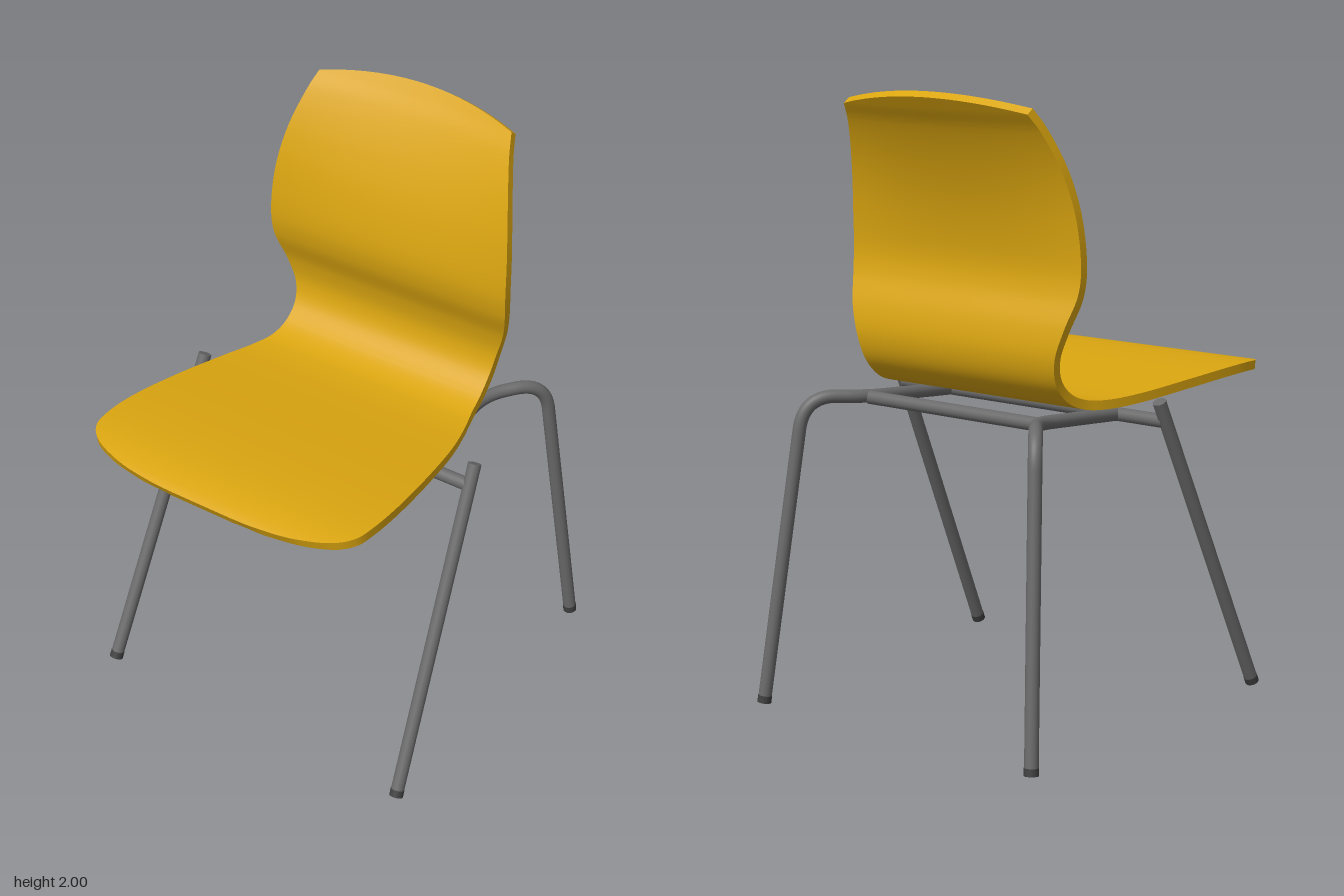
import * as THREE from 'three';
import { toCreasedNormals } from 'three/addons/utils/BufferGeometryUtils.js';

const R = 0.022;
const V = (x, y, z) => new THREE.Vector3(x, y, z);

// One-piece shell: each station is x, y on the side profile and the half width there.
function shellGeometry() {
  const main = new THREE.CatmullRomCurve3([
    [-0.694, 1.037, 0.12], [-0.688, 1.04, 0.25], [-0.668, 1.048, 0.375], [-0.63, 1.058, 0.47],
    [-0.585, 1.065, 0.51], [-0.52, 1.069, 0.522], [-0.4, 1.067, 0.521], [-0.2, 1.053, 0.497],
    [0, 1.036, 0.46], [0.12, 1.031, 0.427], [0.2, 1.039, 0.403], [0.27, 1.068, 0.393],
    [0.325, 1.125, 0.392], [0.347, 1.2, 0.403], [0.337, 1.29, 0.43], [0.303, 1.39, 0.456],
    [0.294, 1.47, 0.461], [0.317, 1.62, 0.453], [0.365, 1.77, 0.426], [0.427, 1.9, 0.387],
    [0.465, 1.955, 0.367]].map(p => V(...p)));
  const rows = [];
  for (let i = 0; i <= 140; i++) rows.push(main.getPoint(i / 140));
  // gently arched top edge
  const corner = rows[rows.length - 1].clone();
  for (let i = 1; i <= 16; i++) {
    const k = 1 - i / 16, f = 1 - k * k;
    rows.push(V(corner.x + 0.025 * f, corner.y + 0.038 * f, Math.max(0.003, corner.z * k)));
  }

  const M = 17, T = 0.015, pos = [], rings = [];
  rows.forEach((p, i) => {
    const a = rows[Math.max(0, i - 1)], b = rows[Math.min(rows.length - 1, i + 1)];
    const len = Math.hypot(b.x - a.x, b.y - a.y);
    const nx = -(b.y - a.y) / len, ny = (b.x - a.x) / len;
    // upper back curves forward at its sides
    const bend = 0.03 * THREE.MathUtils.smoothstep(p.y, 1.4, 2.0);
    const ring = [];
    for (let j = 0; j < 2 * M; j++) {
      const top = j < M, u = (top ? j : 2 * M - 1 - j) / (M - 1) * 2 - 1;
      const z = u * p.z, s = top ? T : -T;
      ring.push(V(p.x + nx * s - bend * (z / 0.37) ** 2, p.y + ny * s, z));
    }
    rings.push(ring);
  });
  const quad = (a, b, c, d) => [a, b, c, a, c, d].forEach(p => pos.push(p.x, p.y, p.z));
  for (let i = 0; i < rings.length - 1; i++) {
    for (let j = 0; j < 2 * M; j++) {
      const k = (j + 1) % (2 * M);
      quad(rings[i][j], rings[i][k], rings[i + 1][k], rings[i + 1][j]);
    }
  }
  const first = rings[0], last = rings[rings.length - 1];
  for (let j = 0; j < M - 1; j++) {
    const o = 2 * M - 1 - j;
    quad(first[j], first[o], first[o - 1], first[j + 1]);
    quad(last[j], last[j + 1], last[o - 1], last[o]);
  }
  const g = new THREE.BufferGeometry();
  g.setAttribute('position', new THREE.Float32BufferAttribute(pos, 3));
  return toCreasedNormals(g, 0.7);
}

// Polyline with rounded corners
function roundedPath(pts, radii) {
  const path = new THREE.CurvePath();
  let from = pts[0];
  for (let i = 1; i < pts.length - 1; i++) {
    const p = pts[i], r = radii[i - 1];
    const a = p.clone().add(pts[i - 1].clone().sub(p).setLength(r));
    const b = p.clone().add(pts[i + 1].clone().sub(p).setLength(r));
    path.add(new THREE.LineCurve3(from, a));
    path.add(new THREE.QuadraticBezierCurve3(a, p, b));
    from = b;
  }
  path.add(new THREE.LineCurve3(from, pts[pts.length - 1]));
  return path;
}

export function createModel() {
  const model = new THREE.Group();
  model.name = 'chair';
  const wood = new THREE.MeshStandardMaterial({ color: 0xdaa510 });
  const steel = new THREE.MeshStandardMaterial({ color: 0x6a6a6a });
  const rubber = new THREE.MeshStandardMaterial({ color: 0x404040 });

  const add = (name, geometry, material) => {
    const mesh = new THREE.Mesh(geometry, material);
    mesh.name = name;
    model.add(mesh);
    return mesh;
  };
  // Straight round bar between two points
  const bar = (name, a, b, material = steel, r = R) => {
    const d = b.clone().sub(a);
    const mesh = add(name, new THREE.CylinderGeometry(r, r, d.length(), 20), material);
    mesh.position.copy(a).add(b).multiplyScalar(0.5);
    mesh.quaternion.setFromUnitVectors(V(0, 1, 0), d.normalize());
  };
  // Foot cap on the lower end of a leg
  const foot = (name, end, above) => {
    const d = above.clone().sub(end).normalize();
    bar(name, end.clone().addScaledVector(d, -0.002), end.clone().addScaledVector(d, 0.022), rubber, R + 0.001);
  };

  add('seatShell', shellGeometry(), wood).position.z = -0.008;

  for (const s of [1, -1]) {
    const side = s > 0 ? 'Left' : 'Right';
    // slanted front leg
    const low = V(-0.488, 0.012, s * 0.592), high = V(-0.006, 1.033, s * 0.541);
    bar('frontLeg' + side, low, high);
    foot('frontFoot' + side, low, high);
    // rail under the seat that bends outward and down into the back leg
    const z = v => s * v - 0.01;
    const pts = [V(-0.035, 0.966, z(0.345)), V(0.38, 1.002, z(0.345)),
      V(0.545, 1.014, z(0.472)), V(0.669, 0.006, z(0.555))];
    const path = roundedPath(pts, [0.07, 0.11]);
    add('railAndBackLeg' + side, new THREE.TubeGeometry(path, 120, R, 20), steel);
    foot('backFoot' + side, pts[3], pts[2]);
  }

  // cross bars
  bar('frontCrossBar', V(-0.035, 0.966, -0.54), V(-0.035, 0.966, 0.54));
  bar('backCrossBar', V(0.37, 0.998, -0.355), V(0.37, 0.998, 0.335));
  return model;
}
